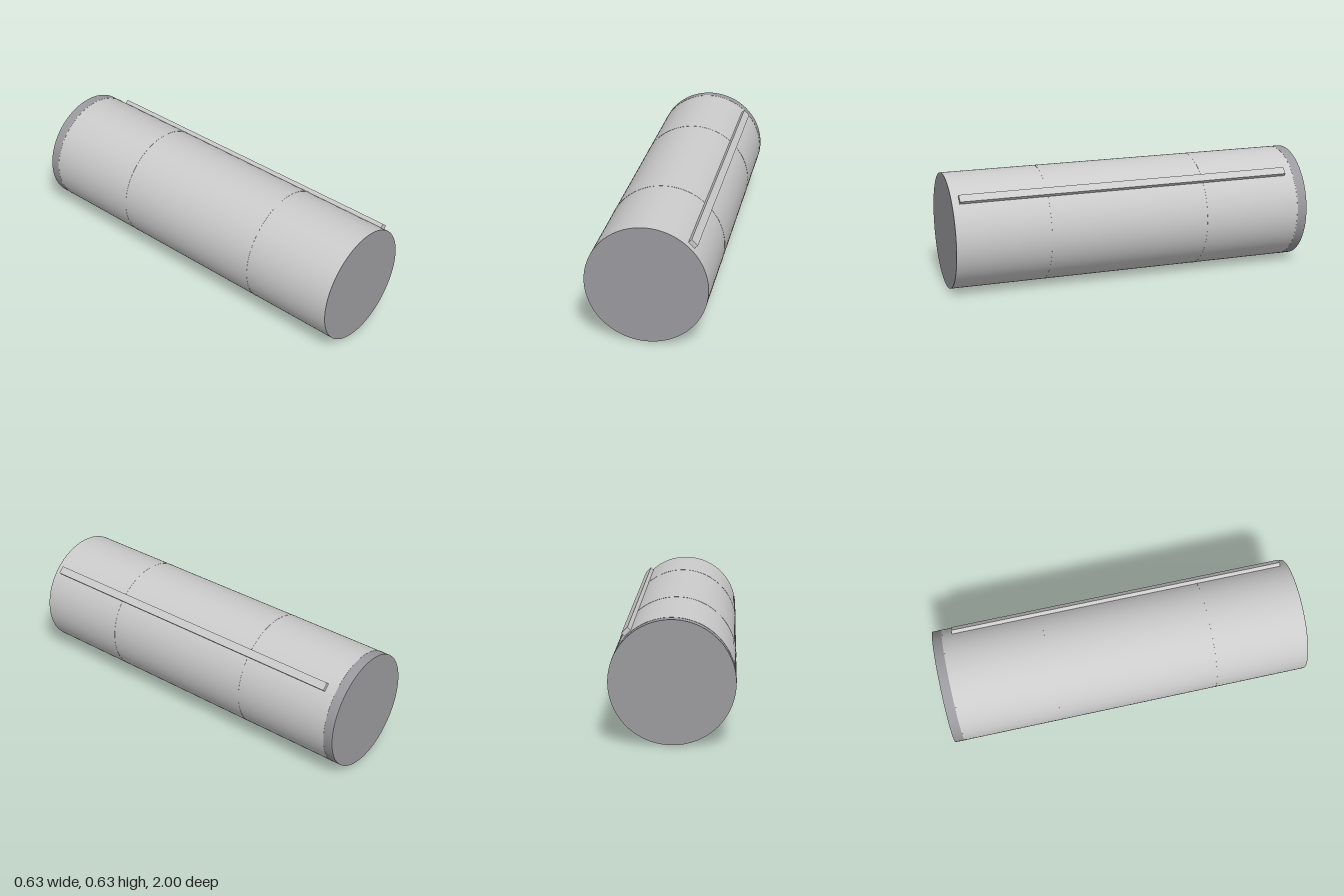
import * as THREE from 'three';

const R = 0.3135, CY = 0.3145;

export function createModel() {
  const model = new THREE.Group();
  const grey = new THREE.MeshStandardMaterial({ color: 0xcccccc });
  const dark = new THREE.MeshStandardMaterial({ color: 0x9b9a9e });

  // Round section lying along z, between z0 and z1
  const section = (name, z0, z1, radius, material) => {
    const geo = new THREE.CylinderGeometry(radius, radius, z1 - z0, 128);
    geo.rotateX(Math.PI / 2);
    const mesh = new THREE.Mesh(geo, material);
    mesh.name = name;
    mesh.position.set(0, CY, (z0 + z1) / 2);
    model.add(mesh);
  };

  // Barrel in three lengths, with a dark end plate at each end
  const joints = [-0.945, -0.4, 0.485, 0.997];
  ['rearBarrel', 'middleBarrel', 'frontBarrel'].forEach((name, i) =>
    section(name, joints[i], joints[i + 1], R, grey));
  section('rearCap', -1, -0.945, R, dark);
  section('frontPlate', 0.997, 1, R, dark);

  // Hairline seams where the lengths meet
  for (const z of joints.slice(0, 3)) section('seamRing', z - 0.002, z + 0.002, CY, grey);

  // Long rail set radially into the upper left side
  const angle = Math.PI / 4, mid = 0.315;
  const rail = new THREE.Mesh(new THREE.BoxGeometry(0.04, 0.043, 1.85), grey);
  rail.name = 'sideRail';
  rail.position.set(Math.cos(angle) * mid, CY + Math.sin(angle) * mid, 0.035);
  rail.rotation.z = angle;
  model.add(rail);

  return model;
}
